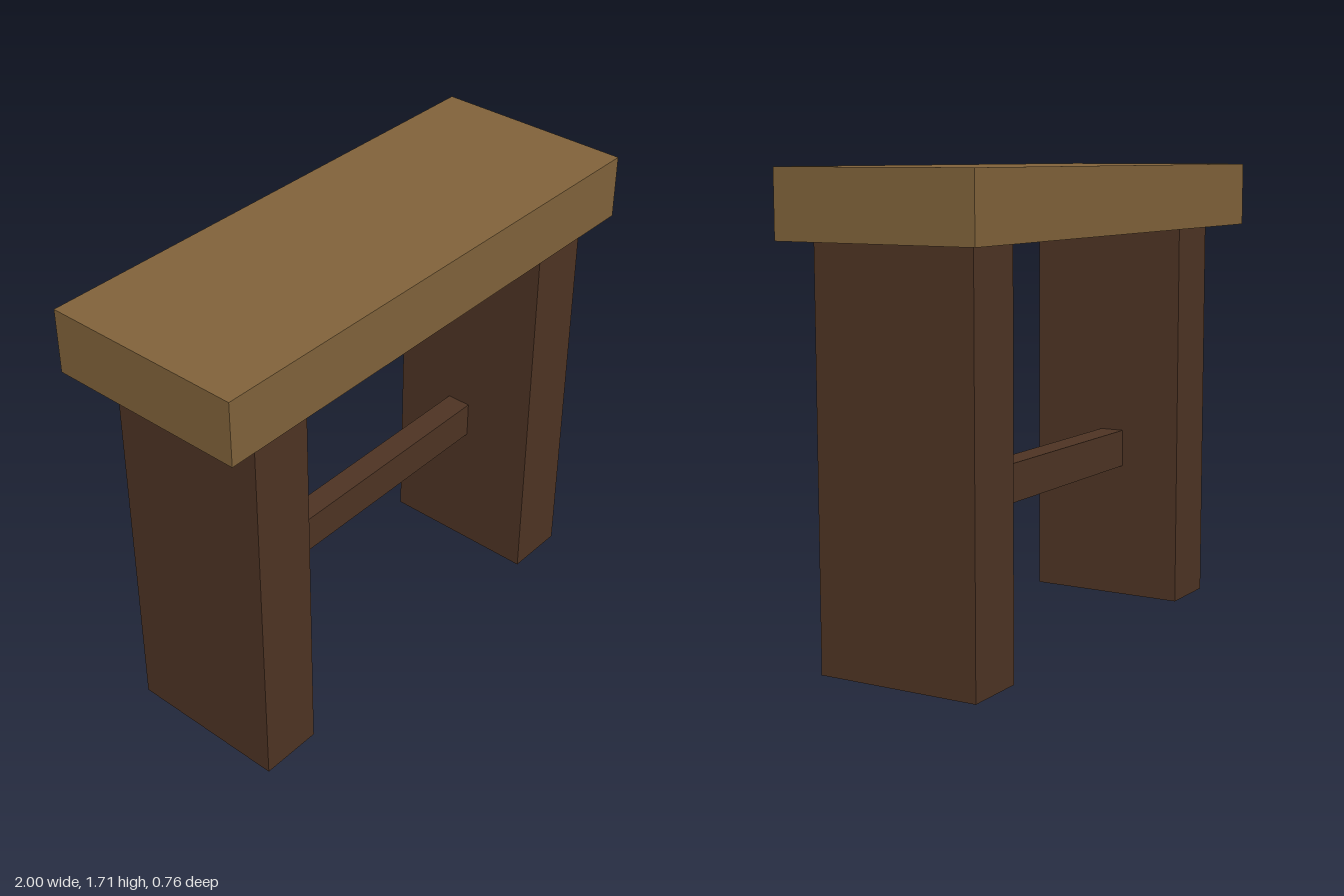
import * as THREE from 'three';

const U = 1 / 21; // whole-number grid used for all dimensions

export function createModel() {
  const group = new THREE.Group();
  const lightWood = new THREE.MeshStandardMaterial({ color: 0x80623a });
  lightWood.name = 'lightWood';
  const darkWood = new THREE.MeshStandardMaterial({ color: 0x4d3323 });
  darkWood.name = 'darkWood';

  // Box from its minimum and maximum corners, in grid units
  function addBox(name, min, max, material) {
    const size = max.map((v, i) => (v - min[i]) * U);
    const mesh = new THREE.Mesh(new THREE.BoxGeometry(...size), material);
    mesh.position.set(...max.map((v, i) => ((v + min[i]) / 2) * U));
    mesh.name = name;
    group.add(mesh);
  }

  // Thick seat plank
  addBox('seat', [-21, 31, -8], [21, 36, 8], lightWood);

  // Slab legs, set slightly towards the front
  addBox('leftLeg', [13, 0, -6], [18, 31, 7], darkWood);
  addBox('rightLeg', [-18, 0, -6], [-13, 31, 7], darkWood);

  // Rail joining the legs
  addBox('stretcher', [-13, 11, -1], [13, 14, 1], darkWood);

  return group;
}
